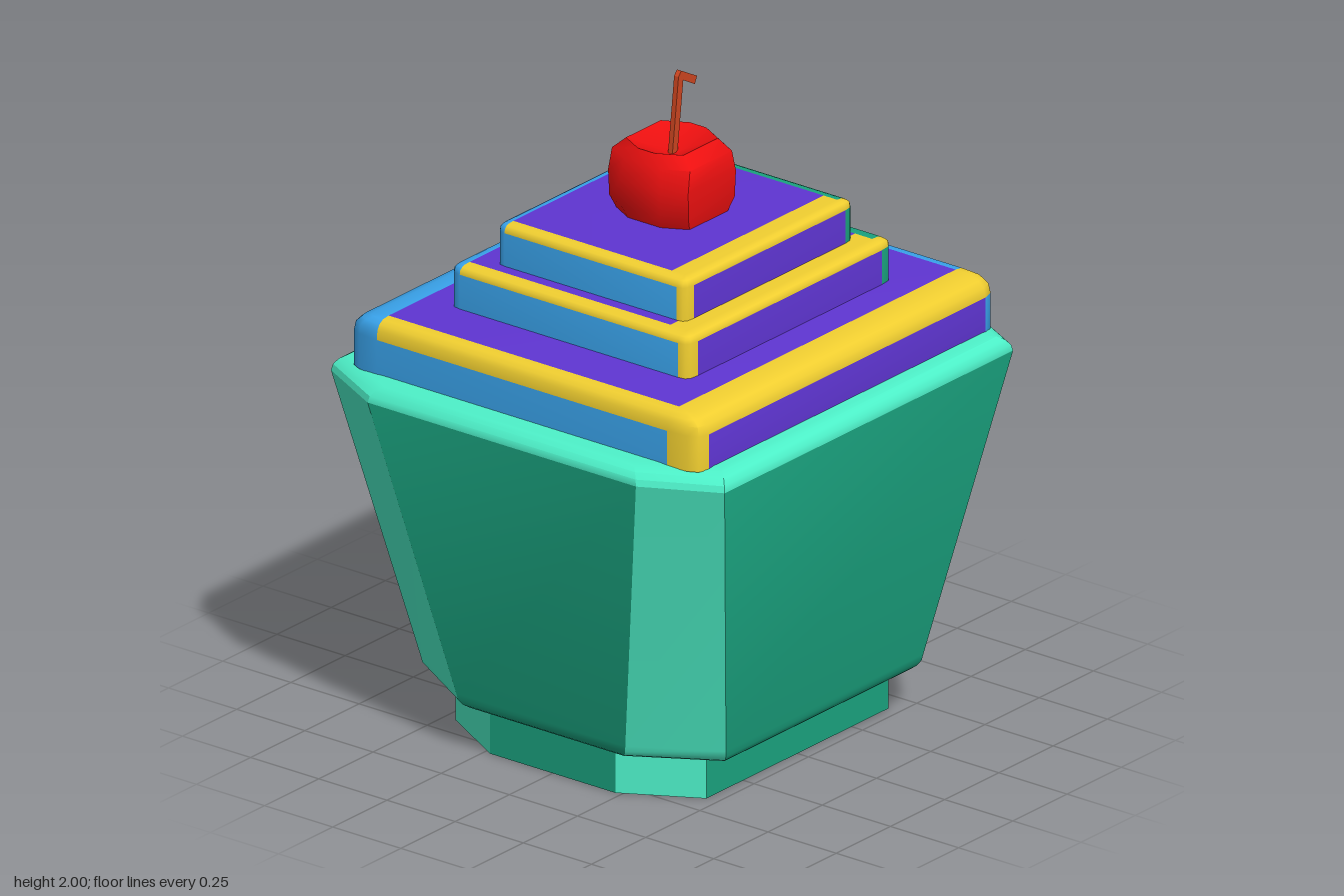
import * as THREE from 'three';
import { toCreasedNormals } from 'three/addons/utils/BufferGeometryUtils.js';

const DARK = 0x1aa37f, LIGHT = 0x4df0c8;
const PURPLE = 0x5f35d2, YELLOW = 0xf0ce30, BLUE = 0x3aa5ee, GREEN = 0x1aa37f, RED = 0xee1010, STEM = 0xcc4520;

// Joins closed rings of points (bottom to top) into skins, one mesh per colour
function loft(name, rings, colorOf, crease) {
  const n = rings[0].length;
  const byColor = new Map();
  for (let j = 0; j < rings.length - 1; j++) {
    for (let i = 0; i < n; i++) {
      const a = j * n + i, b = j * n + (i + 1) % n, c = b + n, d = a + n;
      const color = colorOf(j, i);
      if (!byColor.has(color)) byColor.set(color, []);
      byColor.get(color).push(a, d, b, b, d, c);
    }
  }
  const whole = new THREE.BufferGeometry().setFromPoints(rings.flat());
  whole.setIndex([...byColor.values()].flat());
  const smooth = toCreasedNormals(whole, crease);
  const group = new THREE.Group();
  group.name = name;
  let start = 0;
  for (const [color, index] of byColor) {
    const geo = new THREE.BufferGeometry();
    for (const key of ['position', 'normal']) {
      const part = smooth.attributes[key].array.slice(start * 3, (start + index.length) * 3);
      geo.setAttribute(key, new THREE.BufferAttribute(part, 3));
    }
    start += index.length;
    const mesh = new THREE.Mesh(geo, new THREE.MeshStandardMaterial({ color }));
    mesh.name = `${name}Panel`;
    group.add(mesh);
  }
  return group;
}

// Octagon: half sizes hx, hz with corners cut by cx, cz; odd segments are the straight sides
function octagon(y, hx, hz, cx, cz) {
  const ring = [];
  [[1, 1], [-1, 1], [-1, -1], [1, -1]].forEach(([sx, sz], q) => {
    const pair = [
      new THREE.Vector3(sx * hx, y, sz * (hz - cz)),
      new THREE.Vector3(sx * (hx - cx), y, sz * hz),
    ];
    ring.push(...(q % 2 ? pair.reverse() : pair));
  });
  return ring;
}

const collapsed = (ring, y) => ring.map(() => new THREE.Vector3(0, y, 0));

// Tapered cup with rounded lower edge and rim
function makeCup() {
  const rings = [];
  for (let k = 0; k <= 4; k++) {
    const a = k * Math.PI / 8, inset = 0.045 * (1 - Math.sin(a));
    rings.push(octagon(0.185 - 0.05 * Math.cos(a), 0.605 - inset, 0.56 - inset, 0.15, 0.25));
  }
  const wall = rings.length - 1;
  for (let k = 0; k <= 4; k++) {
    const a = k * Math.PI / 8, inset = 0.055 * (1 - Math.cos(a));
    rings.push(octagon(1.105 + 0.05 * Math.sin(a), 0.785 - inset, 0.722 - inset, 0.12, 0.23));
  }
  rings.unshift(collapsed(rings[0], 0.135));
  rings.push(collapsed(rings[0], 1.155));
  return loft('cup', rings, (j, i) => (i % 2 && j > 1 && j <= wall + 1 ? DARK : LIGHT), 0.45);
}

// Short foot under the cup
function makeFoot() {
  const low = octagon(0, 0.55, 0.46, 0.13, 0.23);
  const rings = [collapsed(low, 0), low, octagon(0.14, 0.55, 0.46, 0.13, 0.23)];
  return loft('foot', rings, (j, i) => (j === 1 && i % 2 ? DARK : LIGHT), 0.45);
}

// Rounded square layer: outer rectangle, flat inner rectangle, front strip ending at zStrip
function makeTier({ y, out, inn, zStrip, accent }) {
  const [y0, shoulder, top] = y;
  const ring = (h, grow, inner) => {
    const pts = [];
    for (let q = 0; q < 4; q++) {
      const x = q === 0 || q === 3 ? 1 : 0, z = q < 2 ? 1 : 0;
      for (let k = 0; k < 4; k++) {
        const a = (q * 3 + k) * Math.PI / 6;
        const fx = grow * Math.abs(Math.cos(a)) ** 0.67, fz = grow * Math.abs(Math.sin(a)) ** 0.67;
        const ix = inner[x], iz = inner[2 + z];
        pts.push(new THREE.Vector3(ix + (out[x] - ix) * fx, h, iz + (out[2 + z] - iz) * fz));
      }
    }
    return pts;
  };
  const rings = [ring(y0, 1, inn)];
  for (let k = 0; k <= 4; k++) {
    const a = k * Math.PI / 8;
    rings.push(ring(shoulder + (top - shoulder) * Math.sin(a) ** 0.75, Math.cos(a) ** 0.75, inn));
  }
  rings.push(ring(top, 0, [inn[0], inn[1], inn[2], zStrip]));
  rings.push(collapsed(rings[0], top));
  // Colours in the order front, left, back, right
  const walls = [PURPLE, BLUE, YELLOW, YELLOW], corners = [accent, YELLOW, BLUE, BLUE];
  const edges = [YELLOW, YELLOW, BLUE, accent], edgeCorners = [YELLOW, YELLOW, BLUE, BLUE];
  const colorOf = (j, i) => {
    const q = i >> 2, side = i % 4 === 3;
    if (j === rings.length - 2) return PURPLE;
    if (j === 0) return (side ? walls : corners)[q];
    return (side ? edges : edgeCorners)[q];
  };
  return loft('frostingTier', rings, colorOf, 0.9);
}

// Boxy cherry with a dimple on top
function makeCherry() {
  const profile = [
    [1.56, 0.12, 0.13], [1.62, 0.147, 0.145], [1.7, 0.15, 0.147],
    [1.765, 0.137, 0.143], [1.8, 0.12, 0.105],
  ];
  const rings = profile.map(([y, hx, hz]) => octagon(y, hx, hz, 0.04, 0.075));
  rings.push(collapsed(rings[0], 1.75));
  return loft('cherry', rings, () => RED, 0.8);
}

// Bent stem
function makeStem() {
  const outline = [[-0.01, 1.74], [0.014, 1.74], [0.042, 1.968], [0.095, 1.938], [0.106, 1.96], [0.033, 2], [0.02, 1.985]];
  const shape = new THREE.Shape(outline.map(([x, y]) => new THREE.Vector2(x, y)));
  const geo = new THREE.ExtrudeGeometry(shape, { depth: 0.016, bevelEnabled: false });
  geo.translate(0, 0, -0.008);
  const stem = new THREE.Mesh(geo, new THREE.MeshStandardMaterial({ color: STEM }));
  stem.name = 'stem';
  return stem;
}

export function createModel() {
  const model = new THREE.Group();
  model.name = 'cupcake';
  model.add(makeFoot(), makeCup());
  // Rectangles are [xMin, xMax, zMin, zMax]
  const tiers = [
    { y: [1.15, 1.26, 1.318], out: [-0.695, 0.692, -0.64, 0.645], inn: [-0.64, 0.635, -0.53, 0.535], zStrip: 0.535, accent: BLUE },
    { y: [1.31, 1.425, 1.45], out: [-0.476, 0.472, -0.438, 0.437], inn: [-0.43, 0.42, -0.4, 0.4], zStrip: 0.337, accent: GREEN },
    { y: [1.44, 1.553, 1.578], out: [-0.393, 0.387, -0.333, 0.36], inn: [-0.352, 0.347, -0.302, 0.33], zStrip: 0.28, accent: GREEN },
  ];
  for (const tier of tiers) model.add(makeTier(tier));
  model.add(makeCherry(), makeStem());
  return model;
}
